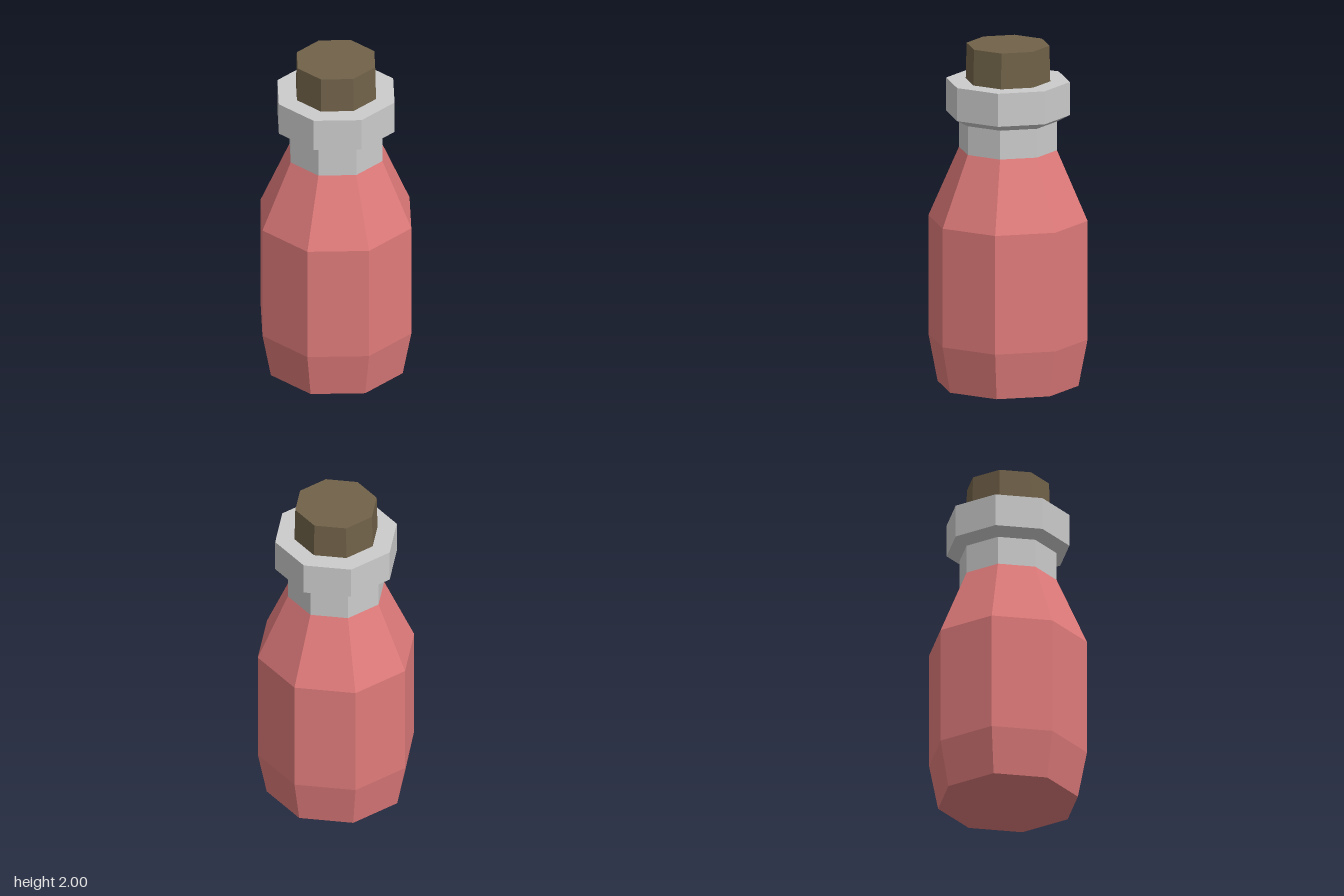
import * as THREE from 'three';

const SIDES = 8;

// Eight-sided turned part from a [radius, height] profile, listed bottom to top
function turned(name, color, profile) {
  const points = profile.map(([r, y]) => new THREE.Vector2(r, y));
  const material = new THREE.MeshStandardMaterial({ color, flatShading: true });
  const mesh = new THREE.Mesh(new THREE.LatheGeometry(points, SIDES), material);
  mesh.name = name;
  return mesh;
}

export function createModel() {
  const bottle = new THREE.Group();
  bottle.name = 'bottle';

  // Body with tapered foot and sloping shoulder
  bottle.add(turned('body', 0xe07b7b, [
    [0, 0], [0.41, 0], [0.463, 0.275], [0.463, 0.975], [0.285, 1.385],
  ]));

  // Neck flaring into a thick lip, closed on top around the cork
  bottle.add(turned('neck', 0xcccccc, [
    [0.285, 1.385], [0.285, 1.555], [0.36, 1.595], [0.36, 1.79], [0, 1.79],
  ]));

  // Slightly tapered cork
  bottle.add(turned('cork', 0x716249, [
    [0.246, 1.79], [0.241, 2], [0, 2],
  ]));

  return bottle;
}
